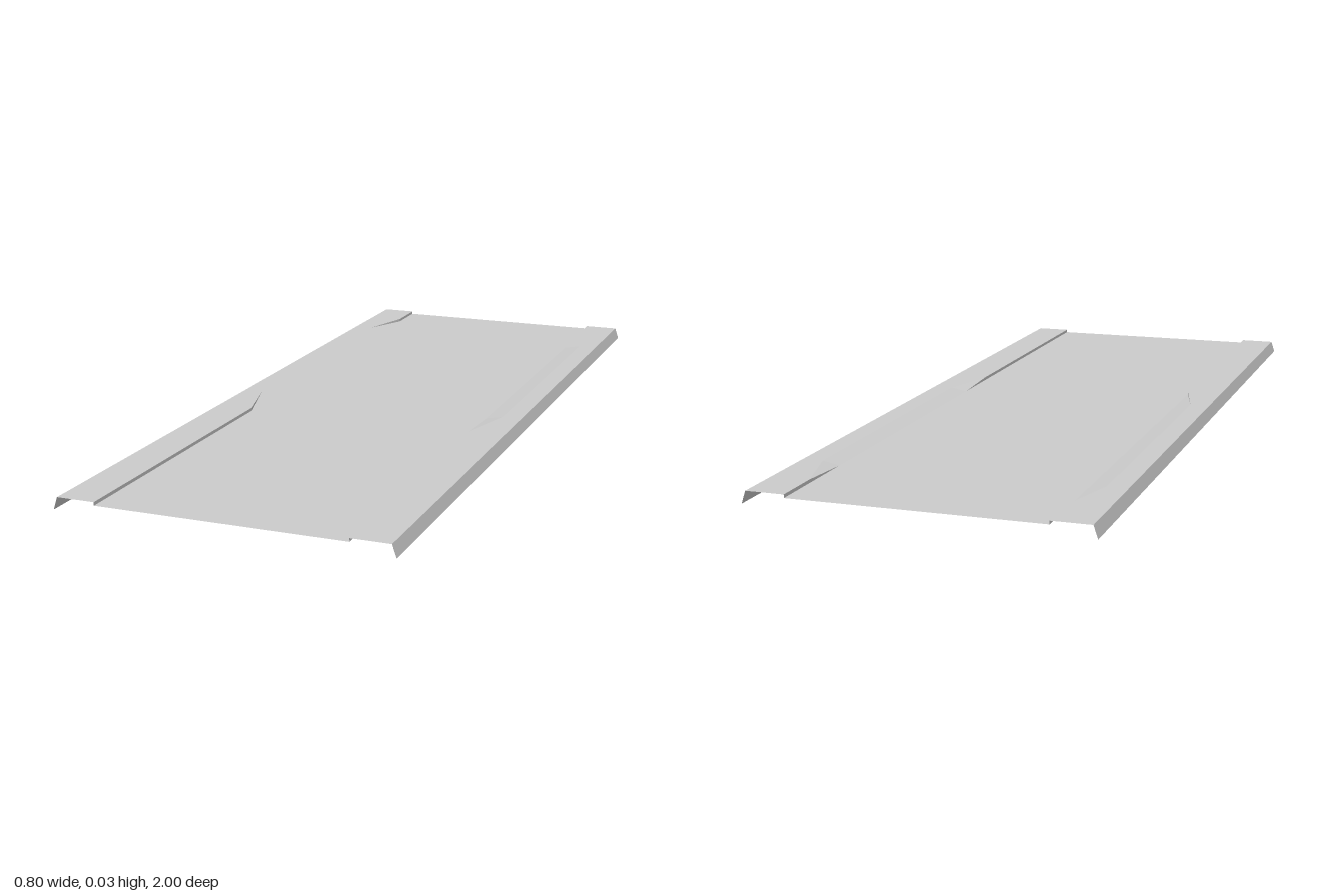
import * as THREE from 'three';

const material = new THREE.MeshStandardMaterial({ color: 0xcccccc, flatShading: true, side: THREE.DoubleSide });

// Stations along the length: [z, x of the upper edge of the step]
const stations = [[1, 0.298], [0.22, 0.298], [0.07, 0.34], [-0.73, 0.34], [-0.88, 0.298], [-1, 0.298]];

// Strip of quads between two rails; each rail maps a station to a point
function strip(name, railA, railB) {
  const pos = [];
  for (let i = 0; i < stations.length - 1; i++) {
    const a0 = railA(...stations[i]), a1 = railA(...stations[i + 1]);
    const b0 = railB(...stations[i]), b1 = railB(...stations[i + 1]);
    // Split each quad so the ramp fades evenly at both ends
    if (stations[i][0] > -0.33) pos.push(...a0, ...b0, ...b1, ...a0, ...b1, ...a1);
    else pos.push(...a0, ...b0, ...a1, ...b0, ...b1, ...a1);
  }
  const geometry = new THREE.BufferGeometry();
  geometry.setAttribute('position', new THREE.Float32BufferAttribute(pos, 3));
  geometry.computeVertexNormals();
  const mesh = new THREE.Mesh(geometry, material);
  mesh.name = name;
  return mesh;
}

export function createModel() {
  const group = new THREE.Group();
  group.name = 'panel';
  const top = 0.03, floor = 0.022;

  // Recessed floor
  group.add(strip('floor', (z) => [-0.298, floor, z], (z) => [0.298, floor, z]));

  for (const s of [1, -1]) {
    const side = s > 0 ? 'left' : 'right';
    const foot = (z) => [s * 0.298, floor, z];
    const shoulder = (z, x) => [s * x, top, z];
    const edge = (z) => [s * 0.39, top, z];
    const hem = (z) => [s * 0.4, 0, z];
    const add = (name, a, b) => group.add(s > 0 ? strip(name, a, b) : strip(name, b, a));
    // Upright step that opens into a shallow ramp
    add(side + 'Step', shoulder, foot);
    group.children.at(-1).geometry.computeBoundingSphere();
    // Raised border and folded-down lip
    add(side + 'Border', shoulder, edge);
    add(side + 'Lip', edge, hem);
  }

  // Faces that wind downwards are turned so the sheet faces up
  group.traverse((m) => {
    if (!m.isMesh) return;
    const n = m.geometry.attributes.normal, p = m.geometry.attributes.position;
    let up = 0;
    for (let i = 0; i < n.count; i++) up += n.getY(i);
    if (up >= 0) return;
    const a = new THREE.Vector3(), b = new THREE.Vector3();
    for (let i = 0; i < p.count; i += 3) {
      a.fromBufferAttribute(p, i + 1);
      b.fromBufferAttribute(p, i + 2);
      p.setXYZ(i + 1, b.x, b.y, b.z);
      p.setXYZ(i + 2, a.x, a.y, a.z);
    }
    m.geometry.computeVertexNormals();
  });
  return group;
}
